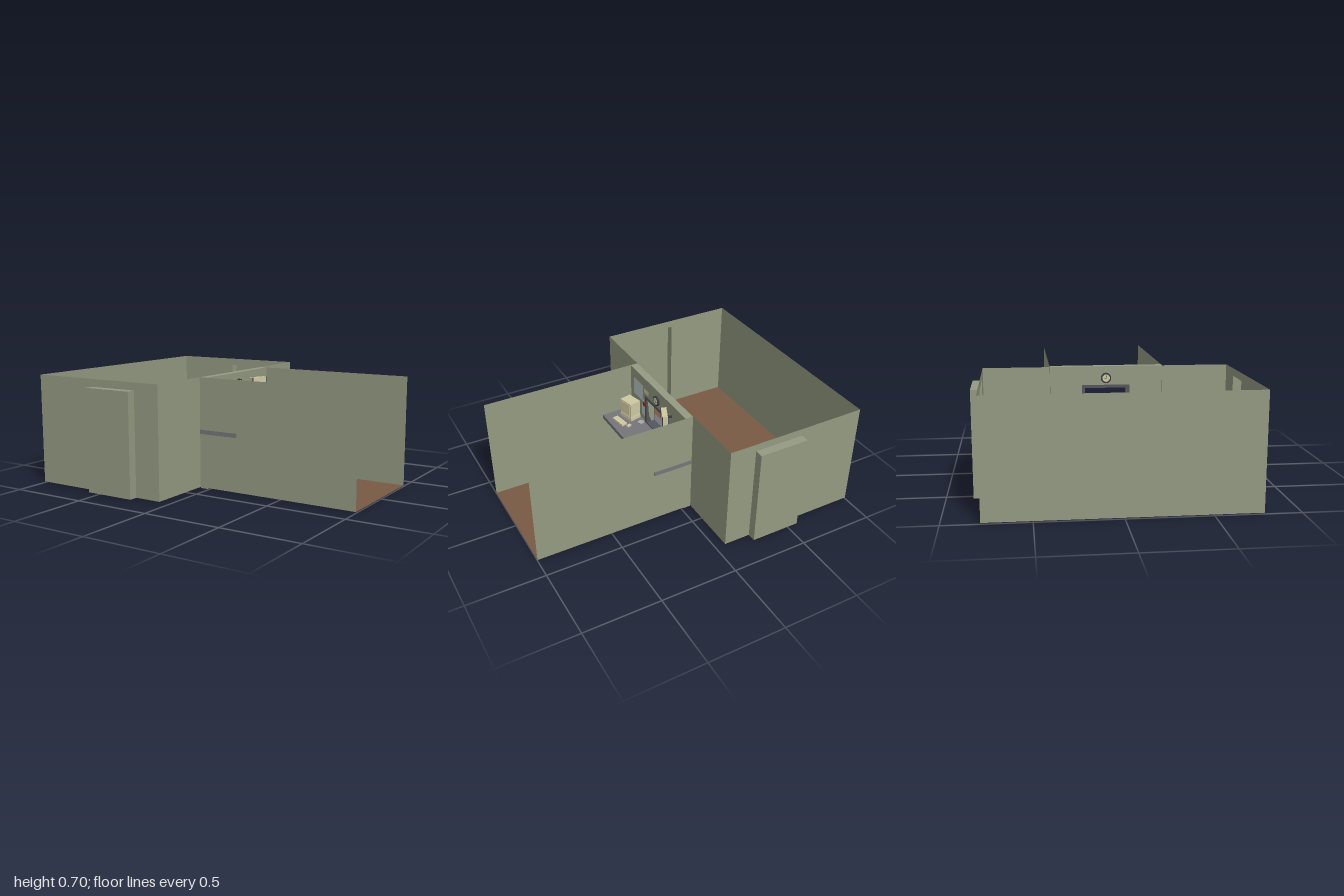
import * as THREE from 'three';

const mat = (color) => new THREE.MeshStandardMaterial({ color, side: THREE.DoubleSide });
const M = {
  wall: mat(0x949a82), floor: mat(0x785a44), counter: mat(0x76767a), frame: mat(0x56575e),
  cream: mat(0xcfc9a2), pale: mat(0xbccac6), red: mat(0xd0705e), darkRed: mat(0x9c1c24),
  green: mat(0x3c7a46), paper: mat(0xaaaaac), dark: mat(0x3a3b40), skin: mat(0xc49f8a),
};
const FLOOR = 0.01, TOP = 0.705, WX = -0.065, PX = -0.015, ZA = 0.783, ZB = 0.362;

export function createModel() {
  const root = new THREE.Group();
  const add = (name, geo, m, x = 0, y = 0, z = 0, parent = root) => {
    const o = new THREE.Mesh(geo, m);
    o.name = name;
    o.position.set(x, y, z);
    parent.add(o);
    return o;
  };
  const poly = (pts) => new THREE.Shape(pts.map((p) => new THREE.Vector2(...p)));
  const rect = (a, b, c, d) => poly([[a, c], [b, c], [b, d], [a, d]]);
  // box given by its limits
  const block = (name, m, x0, x1, y0, y1, z0, z1) =>
    add(name, new THREE.BoxGeometry(x1 - x0, y1 - y0, z1 - z0), m, (x0 + x1) / 2, (y0 + y1) / 2, (z0 + z1) / 2);
  // thin upright panels, along x or along z
  const panelX = (name, x0, x1, z, y1 = TOP) =>
    add(name, new THREE.PlaneGeometry(x1 - x0, y1 - FLOOR), M.wall, (x0 + x1) / 2, (FLOOR + y1) / 2, z);
  const panelZ = (name, x, z0, z1, y1 = TOP) => {
    add(name, new THREE.PlaneGeometry(z1 - z0, y1 - FLOOR), M.wall, x, (FLOOR + y1) / 2, (z0 + z1) / 2).rotation.y = Math.PI / 2;
  };
  const flat = (name, m, x0, x1, z0, z1, y) => {
    add(name, new THREE.PlaneGeometry(x1 - x0, z1 - z0), m, (x0 + x1) / 2, y, (z0 + z1) / 2).rotation.x = -Math.PI / 2;
  };
  // upright slab with a hole, spanning x0..x1; outline runs along -z
  const holed = (name, m, outer, inner, x0, x1) => {
    const s = rect(...outer);
    s.holes.push(rect(...inner));
    const g = new THREE.ExtrudeGeometry(s, { depth: x1 - x0, bevelEnabled: false });
    add(name, g.rotateY(Math.PI / 2), m, x0);
  };

  // floors
  flat('largeRoomFloor', M.floor, -1, WX, -ZA, ZA, FLOOR);
  flat('smallRoomFloor', M.floor, PX, 1, -ZB, ZB, FLOOR);

  // large room walls with door recesses
  panelZ('endWall', -1, -ZA, ZA);
  const d0 = -0.567, d1 = -0.24, dTop = 0.657, dz = 0.838;
  for (const s of [1, -1]) {
    const wall = poly([[-1, FLOOR], [d0, FLOOR], [d0, dTop], [d1, dTop], [d1, FLOOR], [WX, FLOOR], [WX, TOP], [-1, TOP]]);
    add('sideWall', new THREE.ShapeGeometry(wall), M.wall, 0, 0, s * ZA);
    panelX('door', d0, d1, s * dz, dTop);
    const lo = Math.min(s * ZA, s * dz), hi = Math.max(s * ZA, s * dz);
    panelZ('doorJamb', d0, lo, hi, dTop);
    panelZ('doorJamb', d1, lo, hi, dTop);
    flat('doorLintel', M.wall, d0, d1, lo, hi, dTop);
    flat('doorSill', M.floor, d0, d1, lo, hi, FLOOR);
    panelZ('dividingWallSide', WX, Math.min(s * ZB, s * ZA), Math.max(s * ZB, s * ZA));
    panelX('smallRoomWall', WX, 1, s * ZB);
  }

  // partition, service window and counter
  holed('partition', M.wall, [-0.36, 0.36, 0.003, TOP], [-0.13, 0.14, 0.37, 0.568], WX, PX);
  holed('windowFrame', M.frame, [-0.15, 0.158, 0.37, 0.585], [-0.13, 0.138, 0.388, 0.566], WX - 0.004, PX + 0.006);
  block('counter', M.counter, -0.112, 0.202, 0.351, 0.378, -0.365, 0.365);

  // clocks on both faces of the partition
  for (const [x, s] of [[PX, 1], [WX, -1]]) {
    const rim = new THREE.CylinderGeometry(0.033, 0.033, 0.012, 32).rotateZ(Math.PI / 2);
    const face = new THREE.CylinderGeometry(0.024, 0.024, 0.002, 32).rotateZ(Math.PI / 2);
    add('clockRim', rim, M.dark, x + s * 0.006, 0.63, -0.003);
    add('clockFace', face, M.cream, x + s * 0.013, 0.63, -0.003);
    add('clockHand', new THREE.BoxGeometry(0.001, 0.018, 0.002), M.dark, x + s * 0.015, 0.637, -0.003);
    add('clockHand', new THREE.BoxGeometry(0.001, 0.002, 0.012), M.dark, x + s * 0.015, 0.63, -0.008);
  }

  // notices pinned to the wall: z0, z1, y0, y1
  for (const [m, z0, z1, y0, y1] of [
    [M.pale, 0.187, 0.313, 0.52, 0.64], [M.cream, 0.11, 0.172, 0.6, 0.632], [M.pale, 0.153, 0.2, 0.417, 0.487],
    [M.red, -0.287, -0.22, 0.526, 0.605], [M.pale, -0.208, -0.165, 0.488, 0.54], [M.cream, -0.242, -0.18, 0.41, 0.482],
  ]) block('notice', m, PX, PX + 0.002, y0, y1, z0, z1);
  block('alarmBox', M.darkRed, PX, PX + 0.008, 0.498, 0.519, 0.155, 0.178);

  // desk monitor, keyboard and mouse
  const monitor = new THREE.Group();
  monitor.name = 'monitor';
  monitor.position.set(0.045, 0.378, 0.26);
  monitor.rotation.y = 0.23;
  root.add(monitor);
  add('monitorBase', new THREE.BoxGeometry(0.08, 0.026, 0.11), M.cream, 0, 0.013, 0, monitor);
  add('monitorCase', new THREE.BoxGeometry(0.08, 0.1, 0.105), M.cream, 0, 0.08, 0, monitor);
  add('monitorScreen', new THREE.BoxGeometry(0.003, 0.08, 0.086), M.cream, 0.041, 0.08, 0, monitor);
  add('keyboard', new THREE.BoxGeometry(0.04, 0.012, 0.11), M.cream, 0.139, 0.385, 0.232).rotation.y = 0.15;
  add('mouse', new THREE.BoxGeometry(0.03, 0.01, 0.018), M.cream, 0.11, 0.383, 0.157).rotation.y = 0.3;

  // raised screen angled from the wall
  const screen = new THREE.Group();
  screen.name = 'raisedScreen';
  screen.position.set(0.03, 0.625, -0.178);
  screen.rotation.y = -0.42;
  root.add(screen);
  add('screenCase', new THREE.BoxGeometry(0.034, 0.07, 0.11), M.cream, 0, 0, 0, screen);
  for (const s of [1, -1]) add('screenEdge', new THREE.BoxGeometry(0.005, 0.07, 0.006), M.dark, 0.016, 0, s * 0.053, screen);
  add('screenBracket', new THREE.BoxGeometry(0.035, 0.012, 0.012), M.dark, -0.03, 0, 0, screen);

  // papers, dish and small desk items
  for (const [x, z, w, d, a] of [[0.093, -0.128, 0.095, 0.05, -0.25], [0.083, -0.03, 0.06, 0.025, 0.15], [0.052, 0.01, 0.06, 0.025, -0.3]])
    add('paperSheet', new THREE.BoxGeometry(w, 0.002, d), M.paper, x, 0.379, z).rotation.y = a;
  add('dish', new THREE.CylinderGeometry(0.02, 0.018, 0.008, 24), M.paper, 0.02, 0.382, 0.155);
  for (const [z, m] of [[-0.11, M.green], [-0.125, M.dark], [-0.138, M.darkRed], [-0.18, M.darkRed], [-0.195, M.dark], [-0.207, M.darkRed]])
    add('stamp', new THREE.CylinderGeometry(0.005, 0.007, 0.022, 12), m, 0.0, 0.389, z);

  // standing figure facing the window
  const person = new THREE.Group();
  person.name = 'person';
  person.position.set(-0.172, FLOOR, -0.006);
  root.add(person);
  const lathe = (name, pts, depth) =>
    add(name, new THREE.LatheGeometry(new THREE.SplineCurve(pts.map((p) => new THREE.Vector2(...p))).getPoints(24), 24), M.skin, 0, 0, 0, person).scale.x = depth;
  lathe('torso', [[0.004, 0.215], [0.042, 0.235], [0.046, 0.26], [0.038, 0.3], [0.047, 0.345], [0.06, 0.375], [0.058, 0.392], [0.034, 0.407], [0.016, 0.415], [0.014, 0.435]], 0.58);
  add('head', new THREE.SphereGeometry(0.024, 24, 18), M.skin, 0.006, 0.455, 0, person).scale.set(1.1, 1.28, 0.88);
  add('nose', new THREE.ConeGeometry(0.004, 0.013, 8), M.skin, 0.033, 0.453, 0, person);
  const up = new THREE.Vector3(0, 1, 0);
  const limb = (name, a, b, ra, rb) => {
    const p = new THREE.Vector3(...a), v = new THREE.Vector3(...b).sub(p);
    const seg = add(name, new THREE.CylinderGeometry(rb, ra, v.length(), 14), M.skin, p.x + v.x / 2, p.y + v.y / 2, p.z + v.z / 2, person);
    seg.quaternion.setFromUnitVectors(up, v.normalize());
    add(name + 'Joint', new THREE.SphereGeometry(ra, 14, 10), M.skin, ...a, person);
    add(name + 'Joint', new THREE.SphereGeometry(rb, 14, 10), M.skin, ...b, person);
  };
  for (const s of [1, -1]) {
    add('ear', new THREE.SphereGeometry(0.006, 8, 6), M.skin, 0.004, 0.452, s * 0.022, person).scale.z = 0.5;
    limb('upperArm', [-0.004, 0.383, s * 0.06], [-0.008, 0.305, s * 0.1], 0.018, 0.013);
    limb('forearm', [-0.008, 0.305, s * 0.1], [0.03, 0.245, s * 0.112], 0.013, 0.009);
    add('hand', new THREE.SphereGeometry(0.012, 12, 8), M.skin, 0.04, 0.23, s * 0.114, person).scale.set(1, 1.5, 0.7);
    limb('thigh', [0, 0.235, s * 0.024], [0.004, 0.13, s * 0.03], 0.025, 0.017);
    limb('shin', [0.004, 0.13, s * 0.03], [-0.006, 0.02, s * 0.033], 0.017, 0.01);
    add('foot', new THREE.SphereGeometry(0.013, 12, 8), M.skin, 0.012, 0.01, s * 0.035, person).scale.set(2.3, 0.75, 1);
  }
  return root;
}
